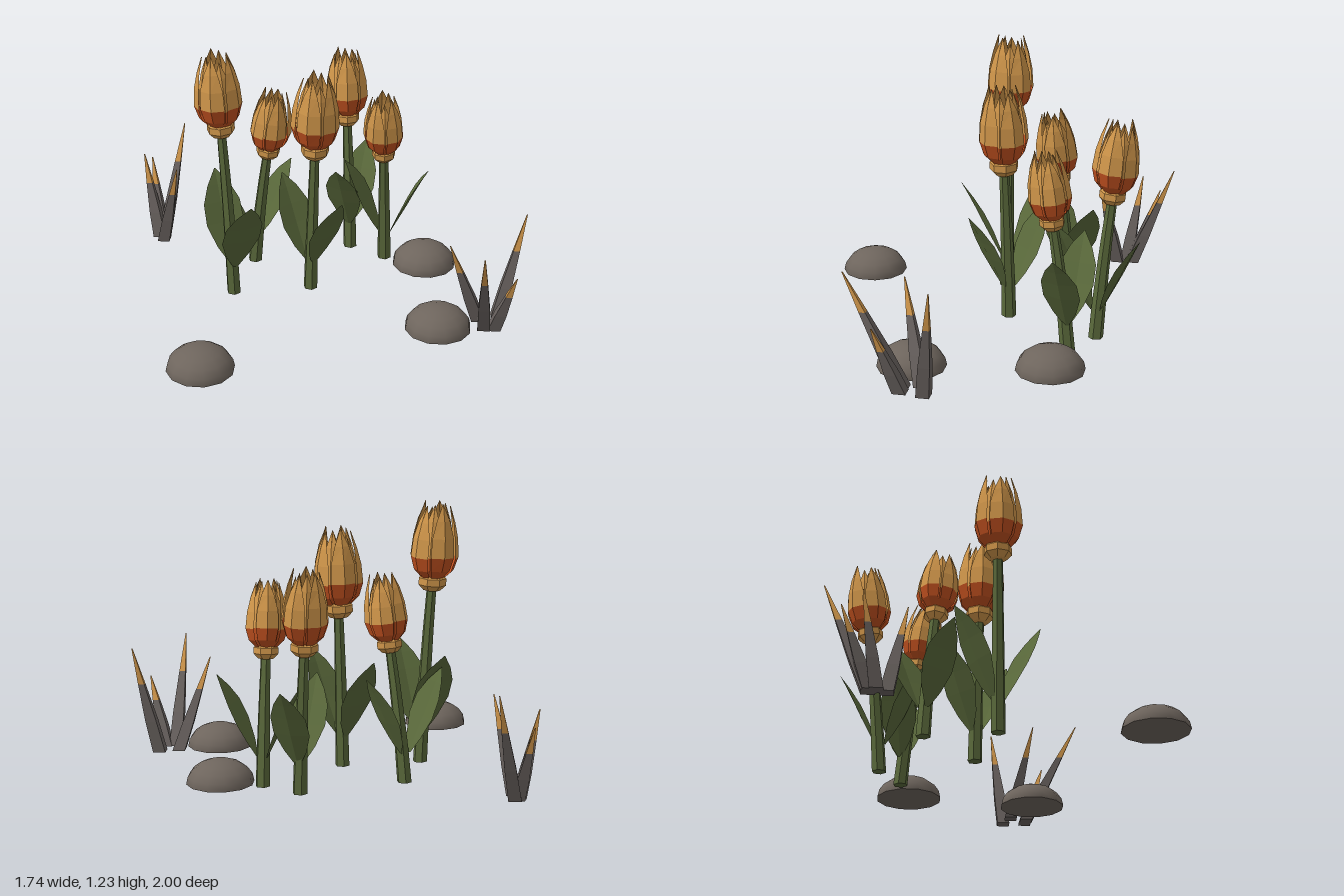
import * as THREE from 'three';

const mat = (name, color, side = THREE.DoubleSide) => new THREE.MeshStandardMaterial({ name, color, side });
const orange = mat('amber orange', 0xd0964a);
const red = mat('burnt red', 0xc0501f);
const green = mat('leaf green', 0x5a693b);
const stone = mat('stone grey', 0x6e655d, THREE.FrontSide);
const spikeGrey = mat('spike grey', 0x69625f);

function mesh(name, geometry, material) {
  const m = new THREE.Mesh(geometry, material);
  m.name = name;
  return m;
}

// Unshared corners give every face its own flat normal
function faceted(geometry) {
  const g = geometry.index ? geometry.toNonIndexed() : geometry;
  g.computeVertexNormals();
  return g;
}

// Skin over rows of points; each row has the same number of points
function skin(rows) {
  const n = rows[0].length, index = [];
  for (let i = 0; i < rows.length - 1; i++) {
    for (let j = 0; j < n - 1; j++) {
      const a = i * n + j, b = a + 1, c = a + n, d = c + 1;
      index.push(a, b, d, a, d, c);
    }
  }
  const g = new THREE.BufferGeometry().setFromPoints(rows.flat());
  g.setIndex(index);
  return faceted(g);
}

// Tapered many-sided tube through horizontal rings, closed at the first one
function taper(points, radii, sides) {
  const ring = (p, r) => Array.from({ length: sides + 1 }, (_, k) => {
    const a = -k / sides * Math.PI * 2;
    return new THREE.Vector3(p.x + r * Math.cos(a), p.y, p.z + r * Math.sin(a));
  });
  return skin([ring(points[0], 0), ...points.map((p, i) => ring(p, radii[i]))]);
}

// Petal rows: [height, radius, half width]
const petalRows = [[0.07, 0.055, 0.03], [0.11, 0.094, 0.052], [0.175, 0.113, 0.064],
  [0.265, 0.106, 0.06], [0.345, 0.088, 0.036], [0.425, 0.062, 0.001]];

function petal(angle, spread, height) {
  const g = new THREE.Group();
  g.name = 'petal';
  const rows = petalRows.map(([y, r, w]) => [-1, 0, 1].map((s) => {
    const a = s * w / r, rr = r * spread * (s ? 0.97 : 1.03);
    return new THREE.Vector3(rr * Math.sin(a), y * height, rr * Math.cos(a));
  }));
  g.add(mesh('petalBase', skin(rows.slice(0, 3)), red));
  g.add(mesh('petalTip', skin(rows.slice(2)), orange));
  g.rotation.y = angle;
  return g;
}

function flowerHead(turn) {
  const g = new THREE.Group();
  g.name = 'flowerHead';
  const bulb = new THREE.SphereGeometry(0.07, 7, 5).scale(1, 0.75, 1).translate(0, 0.05, 0);
  g.add(mesh('bulb', faceted(bulb), orange));
  const core = new THREE.SphereGeometry(0.045, 7, 6).scale(1, 2.6, 1).translate(0, 0.19, 0);
  g.add(mesh('core', faceted(core), orange));
  for (let i = 0; i < 5; i++) {
    const a = turn + i * Math.PI * 0.4;
    g.add(petal(a, 1, i % 2 ? 0.96 : 1));
    g.add(petal(a + Math.PI * 0.2, 0.84, i % 2 ? 0.98 : 0.93));
  }
  return g;
}

// Leaf rows: [distance from stem, height, half width]
const leafRows = [[0.025, 0.14, 0.012], [0.06, 0.21, 0.055], [0.105, 0.3, 0.088],
  [0.145, 0.385, 0.085], [0.18, 0.455, 0.052], [0.215, 0.52, 0.002]];

function leaf(angle, scale) {
  const rows = leafRows.map(([r, y, w]) => [-1, 0, 1].map((s) =>
    new THREE.Vector3(s * w, y + (s ? w * 0.06 : 0), r - (s ? w * 0.15 : 0))));
  const m = mesh('leaf', skin(rows), green);
  m.rotation.y = angle;
  m.scale.setScalar(scale);
  return m;
}

function flower([bx, bz], [tx, ty, tz], size, leafDir, leafSize, turn) {
  const g = new THREE.Group();
  g.name = 'flower';
  const base = new THREE.Vector3(), top = new THREE.Vector3(tx - bx, ty, tz - bz);
  const bend = new THREE.Vector3(top.x * 0.35, ty * 0.5, top.z * 0.35);
  const curve = new THREE.QuadraticBezierCurve3(base, bend, top);
  g.add(mesh('stem', taper(curve.getPoints(4), [0.034, 0.032, 0.029, 0.026, 0.023], 6), green));
  const head = flowerHead(turn);
  head.position.copy(top).setY(ty - 0.015);
  head.quaternion.setFromUnitVectors(new THREE.Vector3(0, 1, 0), top.clone().normalize());
  head.scale.setScalar(size);
  g.add(head);
  const a = Math.atan2(leafDir[0], leafDir[1]);
  g.add(leaf(a, leafSize), leaf(a + Math.PI, leafSize));
  g.position.set(bx, 0, bz);
  return g;
}

// Four-sided thorn, grey below and orange at the tip
function spike([bx, bz], [tx, ty, tz]) {
  const g = new THREE.Group();
  g.name = 'spike';
  const base = new THREE.Vector3(bx, 0, bz), tip = new THREE.Vector3(tx, ty, tz);
  const at = (t) => base.clone().lerp(tip, t);
  g.add(mesh('spikeBody', taper([at(0), at(0.3), at(0.66)], [0.042, 0.037, 0.021], 4), spikeGrey));
  g.add(mesh('spikeTip', taper([at(0.66), at(1)], [0.021, 0.003], 4), orange));
  return g;
}

function rock(x, z) {
  const g = new THREE.Group();
  g.name = 'rock';
  const dome = new THREE.SphereGeometry(0.155, 12, 5, 0, Math.PI * 2, 0, Math.PI / 2).scale(1, 0.71, 1);
  const bottom = new THREE.CircleGeometry(0.155, 12).rotateX(Math.PI / 2);
  g.add(mesh('rockDome', dome, stone), mesh('rockBottom', bottom, stone));
  g.position.set(x, 0, z);
  return g;
}

export function createModel() {
  const model = new THREE.Group();
  model.name = 'flowerPatch';

  // Flowers: base, stem top, head size, leaf direction, leaf size, head turn
  model.add(
    flower([-0.19, -0.16], [-0.222, 0.83, -0.195], 0.98, [-0.035, 0.125], 1.07, 0.3),
    flower([0.085, -0.345], [0.1, 0.6, -0.265], 0.86, [0.12, 0.015], 0.97, 0.9),
    flower([0.125, 0.035], [0.123, 0.71, 0.06], 1, [0, 1], 1.02, 0.2),
    flower([0.545, -0.16], [0.565, 0.65, -0.22], 0.92, [-0.135, 0.07], 0.97, 0.6),
    flower([0.6, 0.035], [0.54, 0.58, 0.078], 0.85, [0.07, 0.1], 0.97, 0),
  );

  // Spike clusters: base, tip
  const spikes = [
    [[0.505, 0.83], [0.31, 0.5, 0.998]], [[0.625, 0.795], [0.742, 0.515, 0.835]],
    [[0.54, 0.755], [0.365, 0.435, 0.728]], [[0.54, 0.86], [0.533, 0.32, 0.99]],
    [[-0.095, -0.86], [0.103, 0.52, -0.945]], [[-0.11, -0.865], [-0.065, 0.36, -0.998]],
    [[-0.145, -0.8], [-0.14, 0.435, -0.68]], [[-0.135, -0.85], [-0.145, 0.42, -0.95]],
  ];
  for (const [base, tip] of spikes) model.add(spike(base, tip));

  for (const [x, z] of [[-0.715, 0.28], [0.71, 0.205], [0.345, 0.69]]) model.add(rock(x, z));
  return model;
}
